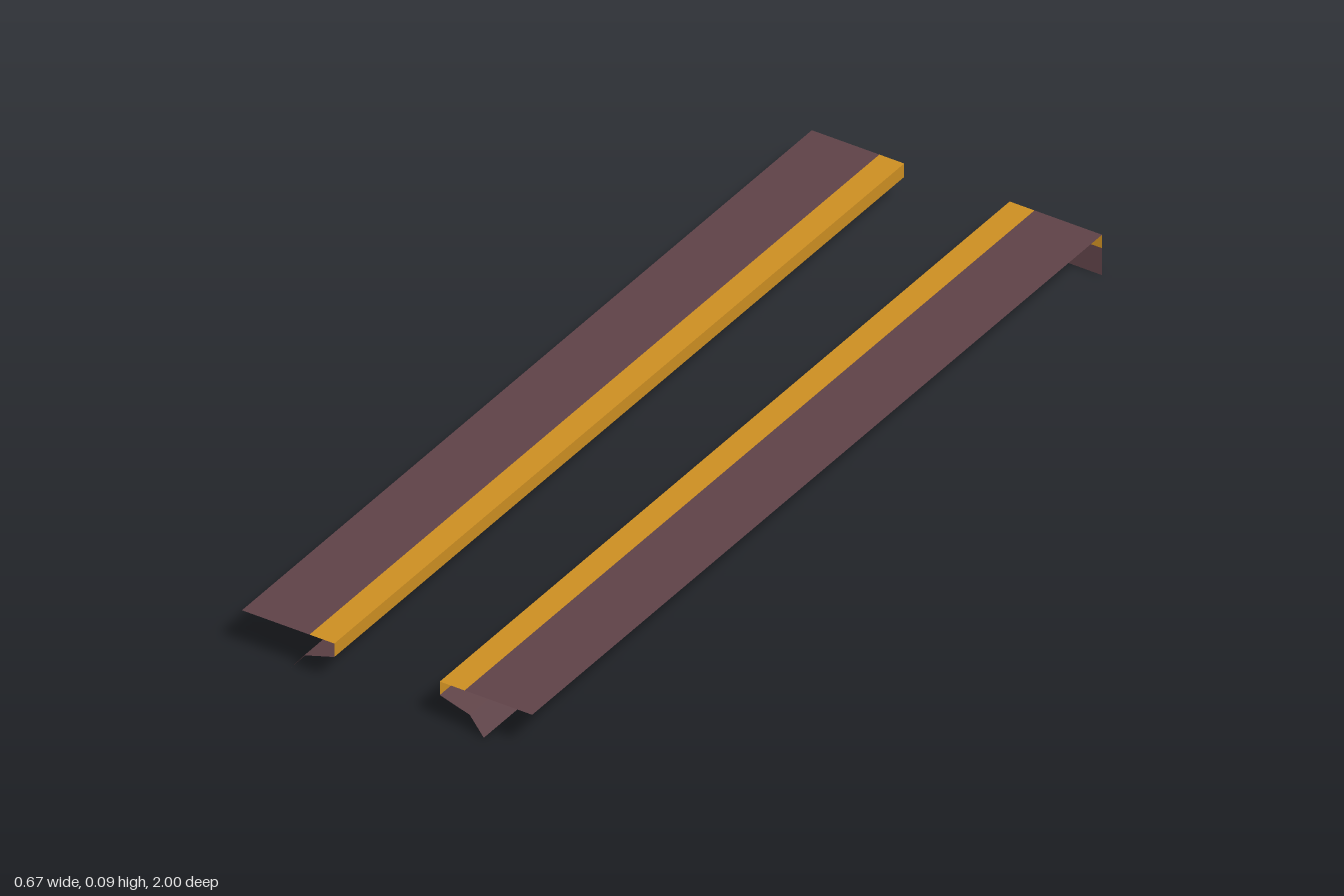
import * as THREE from 'three';

const mat = (name, color) => {
  const m = new THREE.MeshStandardMaterial({ color, side: THREE.DoubleSide });
  m.name = name;
  return m;
};

export function createModel() {
  const amber = mat('amber edging', 0xcc8e22);
  const brown = mat('dark brown paving', 0x5e4247);
  const group = new THREE.Group();
  group.name = 'platforms';

  // Cross-section points, from the foot of the inner wall up and over to the outer edge
  const foot = [0.222, 0], knee = [0.19, 0.041], lip = [0.121, 0.062];
  const edge = [0.121, 0.093], seam = [0.178, 0.093], outer = [0.333, 0.093];
  const outerLow = [0.333, 0.062], outerFoot = [0.333, 0];

  // Open flat strip running the full length between two section points
  const strip = (a, b, s) => {
    const [p, q] = s > 0 ? [a, b] : [b, a];
    const px = p[0] * s, qx = q[0] * s;
    const g = new THREE.BufferGeometry();
    g.setAttribute('position', new THREE.Float32BufferAttribute([
      px, p[1], 1, qx, q[1], 1, qx, q[1], -1, px, p[1], -1], 3));
    g.setIndex([0, 1, 2, 0, 2, 3]);
    g.computeVertexNormals();
    return g;
  };

  // Flat end plate facing backwards
  const cap = (points, s) => {
    const shape = new THREE.Shape(points.map(([x, y]) => new THREE.Vector2(-s * x, y)));
    return new THREE.ShapeGeometry(shape).rotateY(Math.PI).translate(0, 0, -1);
  };

  for (const [side, s] of [['left', 1], ['right', -1]]) {
    const platform = new THREE.Group();
    platform.name = side + 'Platform';
    const add = (name, geometry, material) => {
      const mesh = new THREE.Mesh(geometry, material);
      mesh.name = name;
      platform.add(mesh);
    };

    // Deck, edging and undercut inner wall
    add('deck', strip(seam, outer, s), brown);
    add('edgeStripe', strip(edge, seam, s), amber);
    add('edgeFace', strip(lip, edge, s), amber);
    add('undercut', strip(knee, lip, s), brown);
    add('footWall', strip(foot, knee, s), brown);

    // Closed rear end; the front, outer side and underside stay open
    add('rearBand', cap([lip, outerLow, outer, edge], s), amber);
    add('rearPlate', cap([foot, outerFoot, outerLow, lip, knee], s), brown);
    group.add(platform);
  }
  return group;
}
